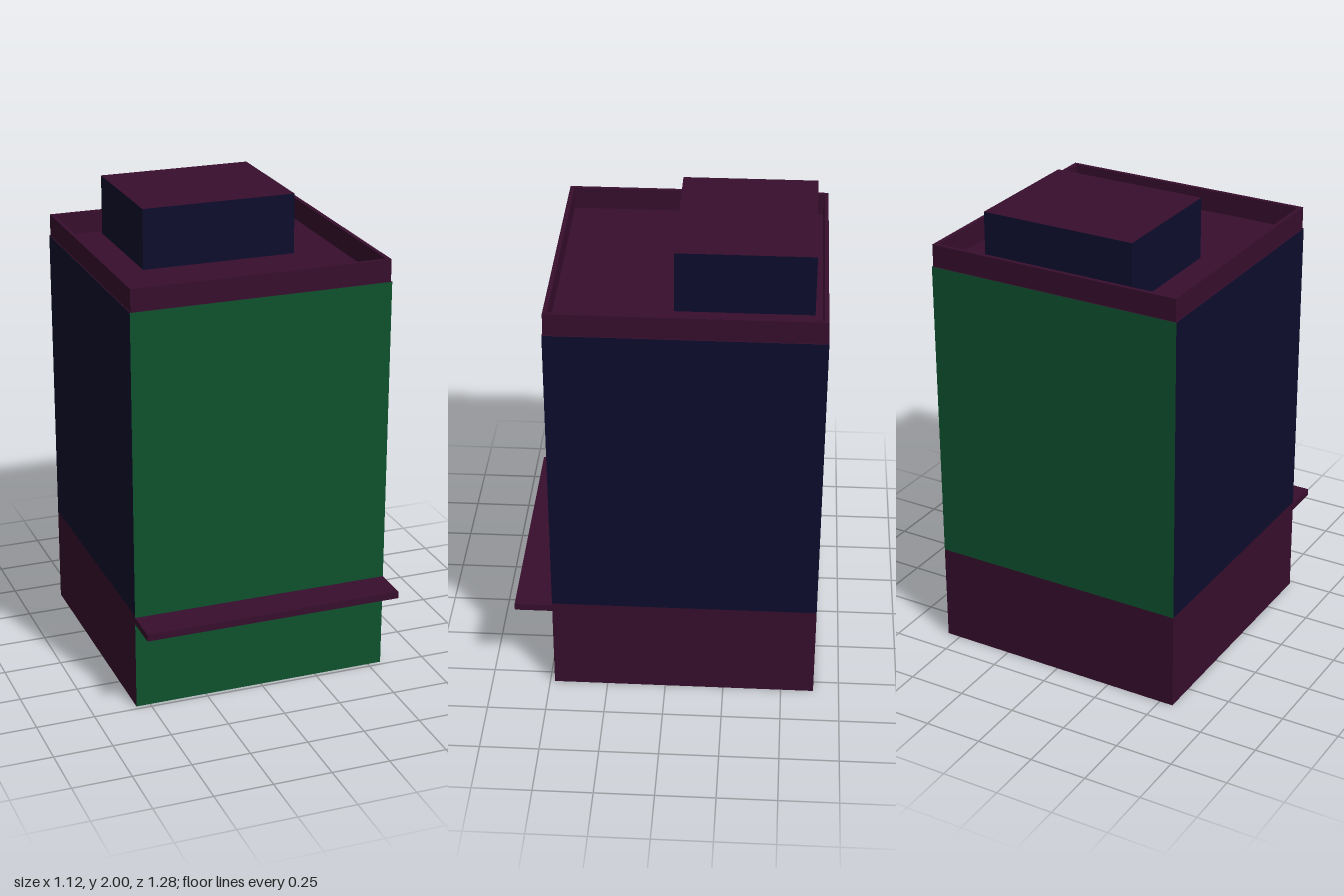
import * as THREE from 'three';

const paint = (name, color) => {
  const m = new THREE.MeshStandardMaterial({ color, side: THREE.DoubleSide });
  m.name = name;
  return m;
};

export function createModel() {
  const green = paint('green', 0x0e512e);
  const navy = paint('navy', 0x0d0d2d);
  const plum = paint('plum', 0x370e2d);

  const group = new THREE.Group();
  const half = 0.56, midZ = -0.08; // square tower, set back behind its canopy
  const bandTop = 0.425, roofY = 1.74;

  const add = (name, geometry, material, x, y, z) => {
    const mesh = new THREE.Mesh(geometry, material);
    mesh.name = name;
    mesh.position.set(x, y, z);
    group.add(mesh);
    return mesh;
  };

  // Thin wall panel facing outwards at the given turn about the tower's axis
  const wall = (name, material, turn, y0, y1) => {
    const geometry = new THREE.PlaneGeometry(half * 2, y1 - y0);
    geometry.translate(0, (y0 + y1) / 2, half).rotateY(turn);
    add(name, geometry, material, 0, 0, midZ);
  };

  // Hollow tower, open underneath: plain front, banded sides and back
  wall('frontWall', green, 0, 0, roofY);
  const banded = [['left', navy, 1], ['back', green, 2], ['right', navy, 3]];
  for (const [side, material, quarter] of banded) {
    const turn = quarter * Math.PI / 2;
    wall(side + 'BaseBand', plum, turn, 0, bandTop);
    wall(side + 'Wall', material, turn, bandTop, roofY);
  }

  // Flat roof
  const roof = new THREE.PlaneGeometry(half * 2, half * 2).rotateX(-Math.PI / 2);
  add('roof', roof, plum, 0, roofY, midZ);

  // Parapet ring around the roof edge
  const square = (path, r) => path.moveTo(-r, -r).lineTo(r, -r).lineTo(r, r).lineTo(-r, r).closePath();
  const ring = square(new THREE.Shape(), 0.556);
  ring.holes.push(square(new THREE.Path(), 0.538));
  const parapet = new THREE.ExtrudeGeometry(ring, { depth: 0.095, bevelEnabled: false });
  parapet.rotateX(-Math.PI / 2);
  add('parapet', parapet, plum, 0, roofY, midZ);

  // Rooftop plant room with a differently coloured top
  add('plantRoom', new THREE.BoxGeometry(0.672, 2 - roofY, 0.562),
    [navy, navy, plum, navy, navy, navy], 0, (2 + roofY) / 2, -0.305);

  // Canopy over the front entrance
  add('canopy', new THREE.BoxGeometry(half * 2, 0.03, 0.16), plum, 0, 0.4, 0.56);

  return group;
}
